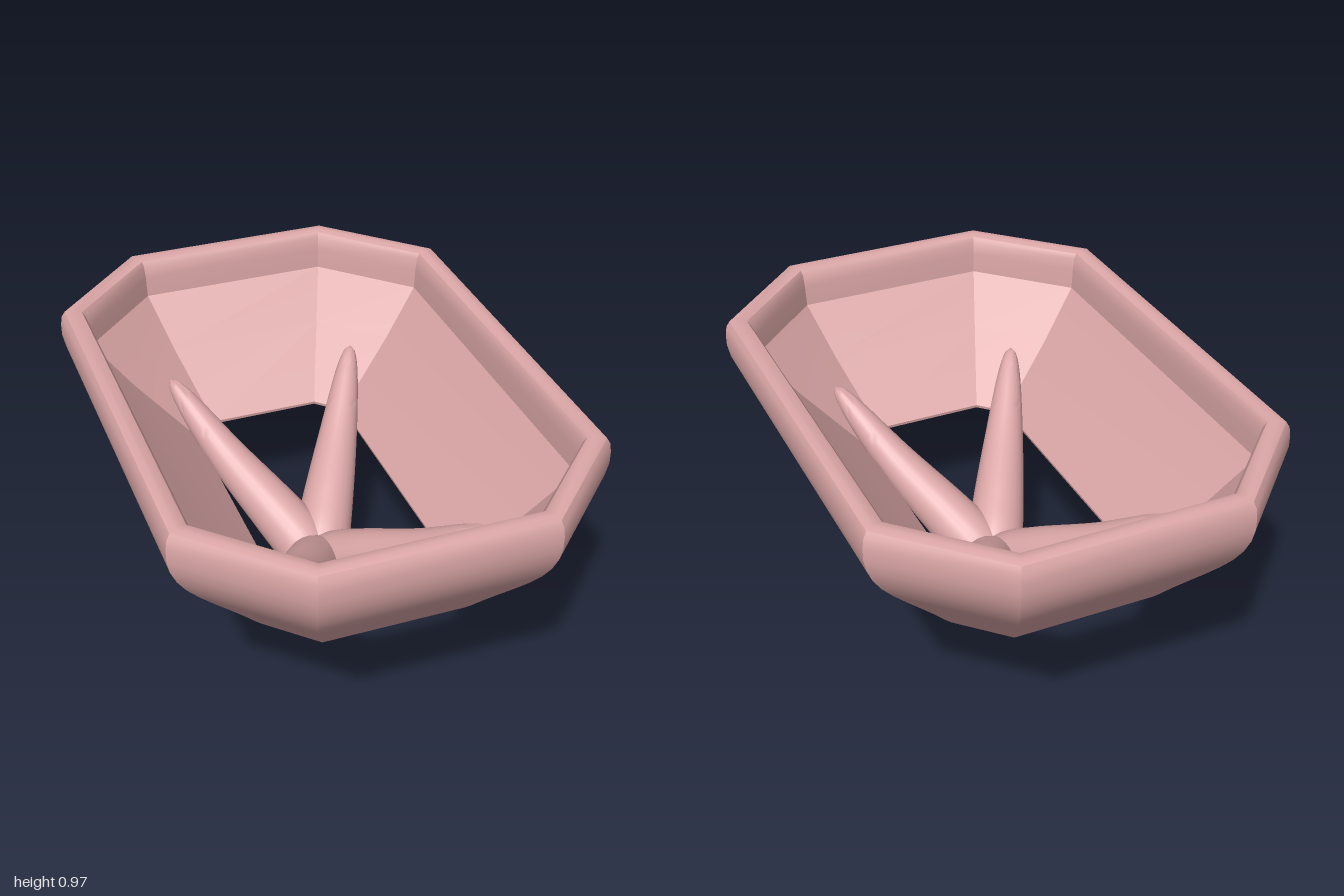
import * as THREE from 'three';
import { toCreasedNormals } from 'three/addons/utils/BufferGeometryUtils.js';

const material = new THREE.MeshStandardMaterial({ color: 0xdba6a6 });

// Chamfered rectangle of half-width 0.70 and half-depth 1.0, inset by d
function octagon(d) {
  const hx = 0.7 - d, hz = 1 - d, c = 0.33 - 0.586 * d;
  return [
    [hx, c - hz], [hx, hz - c], [hx - c, hz], [c - hx, hz],
    [-hx, hz - c], [-hx, c - hz], [c - hx, -hz], [hx - c, -hz],
  ];
}

// Sweeps a closed [half-width, height] profile around the octagon
function sweepBand(profile) {
  const n = profile.length, pos = [], index = [];
  for (const [x, y] of profile) {
    for (const [px, pz] of octagon(0.7 - x)) pos.push(px, y, pz);
  }
  for (let j = 0; j < n; j++) {
    for (let i = 0; i < 8; i++) {
      const k = (j + 1) % n, m = (i + 1) % 8;
      const a = j * 8 + i, b = k * 8 + i, c = j * 8 + m, d = k * 8 + m;
      index.push(a, b, c, c, b, d);
    }
  }
  const geo = new THREE.BufferGeometry();
  geo.setAttribute('position', new THREE.Float32BufferAttribute(pos, 3));
  geo.setIndex(index);
  return toCreasedNormals(geo, 0.5);
}

// Tapered prong that rises from the stem and bends outward along +z
function prongGeometry() {
  const path = new THREE.CatmullRomCurve3([
    [0, 0.06], [0.015, 0.15], [0.075, 0.225], [0.18, 0.295], [0.43, 0.45], [0.69, 0.655],
  ].map(([r, y]) => new THREE.Vector3(0, y, r)));
  const steps = 48, sides = 24;
  const geo = new THREE.TubeGeometry(path, steps, 1, sides, false);
  const pos = geo.attributes.position, v = new THREE.Vector3();
  for (let i = 0; i <= steps; i++) {
    const u = i / steps, centre = path.getPointAt(u);
    const radius = (0.105 - 0.075 * u ** 1.6) * Math.sqrt(1 - u ** 20);
    for (let j = 0; j <= sides; j++) {
      const k = i * (sides + 1) + j;
      v.fromBufferAttribute(pos, k).sub(centre).multiplyScalar(radius).add(centre);
      pos.setXYZ(k, v.x, v.y, v.z);
    }
  }
  return toCreasedNormals(geo, 1);
}

export function createModel() {
  const model = new THREE.Group();
  const add = (name, geo) => {
    const mesh = new THREE.Mesh(geo, material);
    mesh.name = name;
    model.add(mesh);
    return mesh;
  };

  // Flared octagonal bezel: outer wall, rounded rim, inner wall, lower lip
  add('bezel', sweepBand([
    [0.29, 0.437], [0.365, 0.437], [0.385, 0.442], [0.402, 0.46],
    [0.45, 0.515], [0.5, 0.57], [0.55, 0.624], [0.6, 0.68], [0.64, 0.73],
    [0.67, 0.778], [0.69, 0.825], [0.699, 0.87], [0.699, 0.91], [0.694, 0.942],
    [0.683, 0.961], [0.665, 0.968], [0.645, 0.968], [0.628, 0.961], [0.618, 0.945],
    [0.612, 0.9], [0.608, 0.83], [0.48, 0.67], [0.28, 0.452], [0.282, 0.441],
  ]));

  // Four prongs in a cross
  const prong = prongGeometry();
  [30, 150, 210, 330].forEach((deg) => {
    add('prong', prong).rotation.y = THREE.MathUtils.degToRad(deg);
  });

  // Rounded foot under the prongs
  const foot = [[0, 0], [0.04, 0.002], [0.07, 0.009], [0.092, 0.023], [0.104, 0.042],
    [0.107, 0.06], [0.105, 0.075], [0, 0.08]];
  add('foot', toCreasedNormals(
    new THREE.LatheGeometry(foot.map(([x, y]) => new THREE.Vector2(x, y)), 40), 0.7));

  return model;
}
